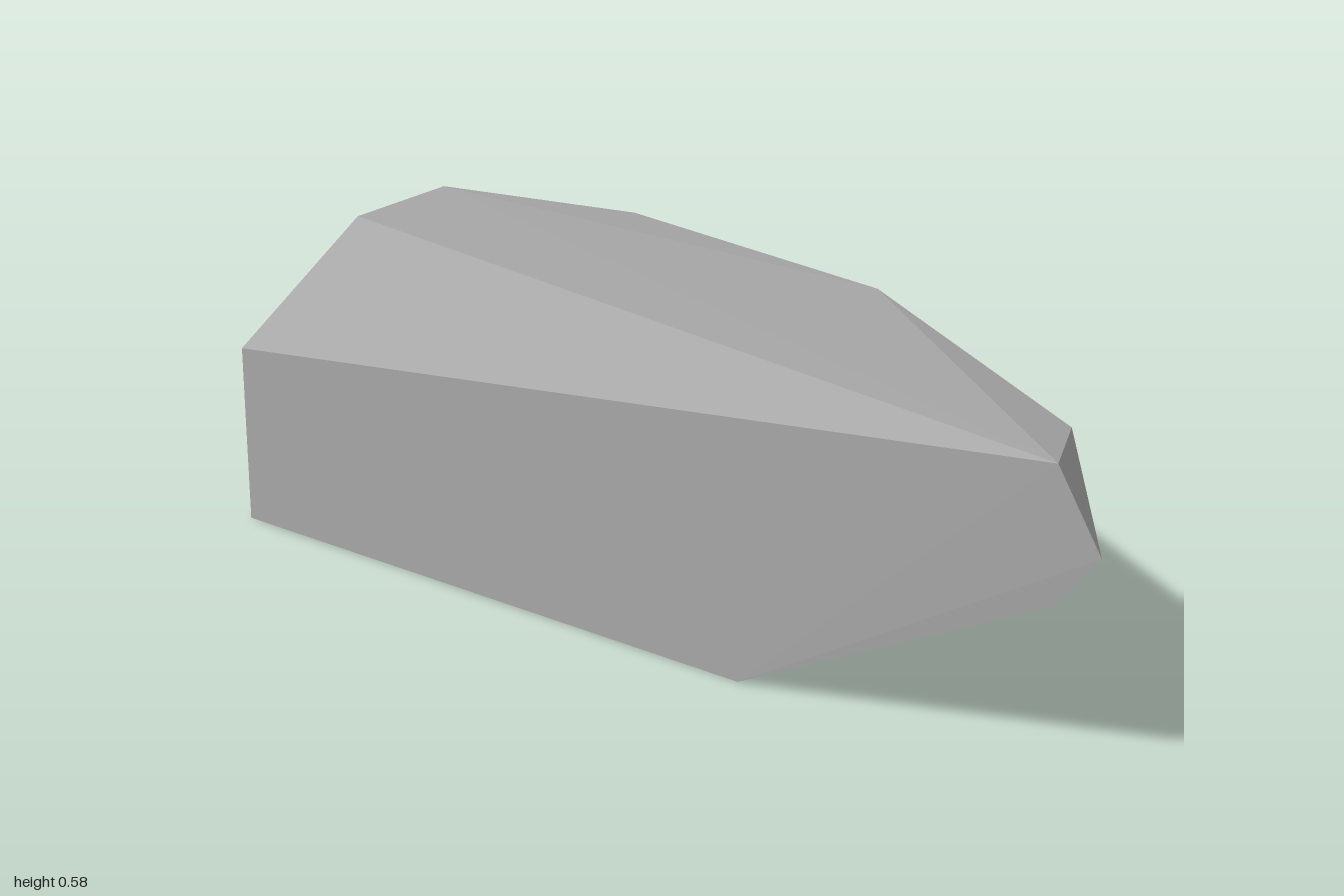
import * as THREE from 'three';
import { ConvexGeometry } from 'three/addons/geometries/ConvexGeometry.js';

// Cross-sections of the faceted boulder, from the ground upwards: [x, y, z]
const base = [
  [-1, 0, 0.38], [0.28, 0, 0.413], [-0.085, 0, 0.2], [-0.55, 0, 0.12], [-1, 0, 0.195],
];
const lowerBelt = [
  [0.91, 0.325, 0.413], [0.83, 0.365, 0.165], [0.21, 0.365, -0.26],
  [-0.55, 0.368, -0.415], [-1, 0.325, -0.3],
];
const upperBelt = [
  [1, 0.437, 0.415], [0.815, 0.548, 0.175], [0.2, 0.527, -0.255],
  [-0.55, 0.56, -0.397], [-1, 0.445, -0.33], [-1, 0.38, 0.368],
];
const crown = [
  [0.91, 0.583, 0.41], [0.19, 0.577, -0.205], [-1, 0.574, -0.283], [-1, 0.574, 0],
];

export function createModel() {
  const stone = new THREE.MeshStandardMaterial({ color: 0xa6a6a6 });
  stone.name = 'grey stone';
  stone.flatShading = true;

  const points = [base, lowerBelt, upperBelt, crown]
    .flat()
    .map(p => new THREE.Vector3(...p));

  const rock = new THREE.Mesh(new ConvexGeometry(points), stone);
  rock.name = 'rock';

  const group = new THREE.Group();
  group.name = 'facetedRock';
  group.add(rock);
  return group;
}
